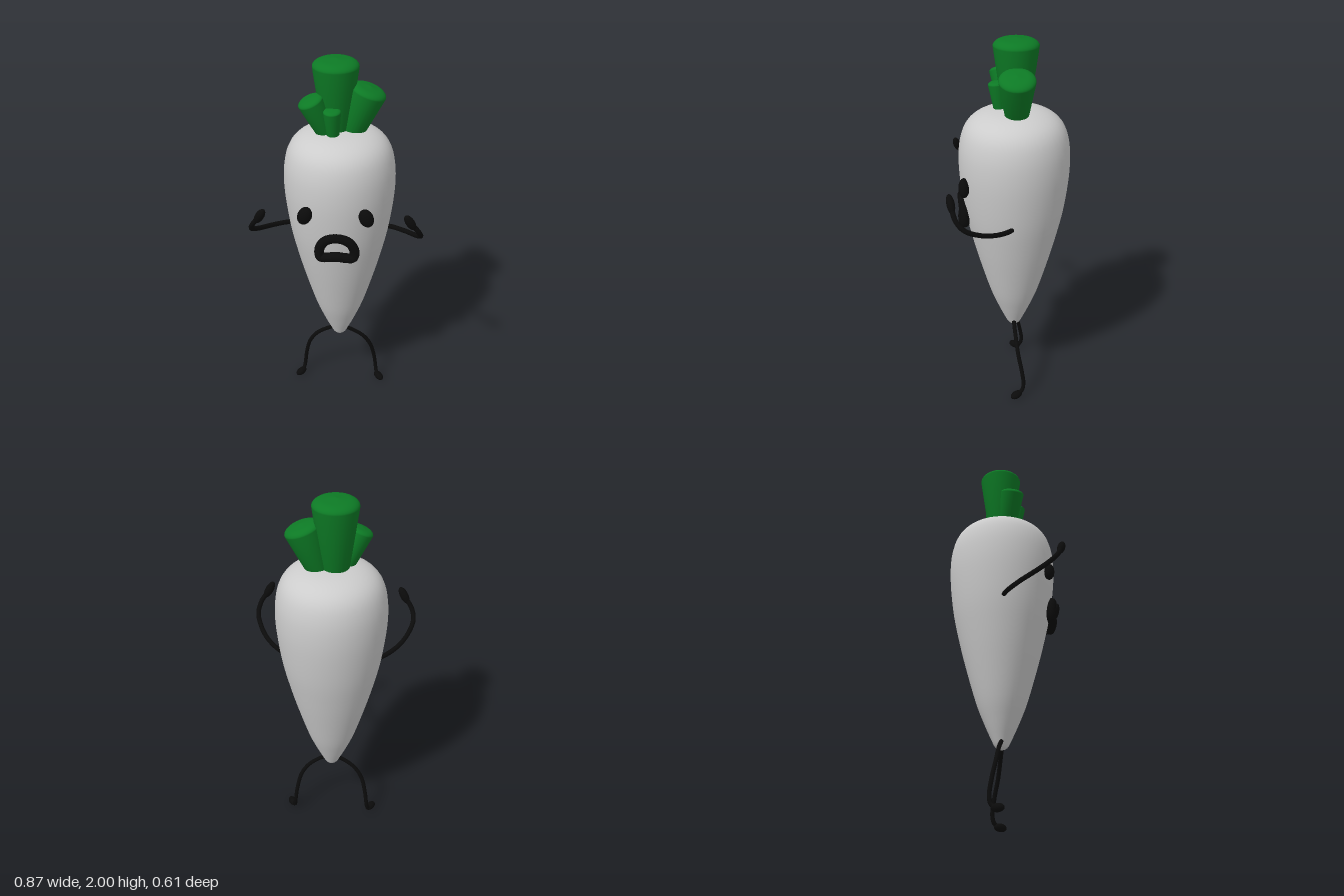
import * as THREE from 'three';

const mat = (name, color) => {
  const m = new THREE.MeshStandardMaterial({ color });
  m.name = name;
  return m;
};
const V = (p) => new THREE.Vector3(...p);
const UP = new THREE.Vector3(0, 1, 0);

export function createModel() {
  const group = new THREE.Group();
  const skin = mat('pale root', 0xcccccc);
  const green = mat('leaf green', 0x0d7a25);
  const black = mat('black', 0x0b0b0b);

  const add = (name, geometry, material, position = [0, 0, 0]) => {
    const mesh = new THREE.Mesh(geometry, material);
    mesh.name = name;
    mesh.position.set(...position);
    group.add(mesh);
    return mesh;
  };
  const tube = (name, points, radius, closed = false) =>
    add(name, new THREE.TubeGeometry(new THREE.CatmullRomCurve3(points.map(V), closed), 48, radius, 10, closed), black);
  // Ellipsoid whose long (y) axis points along dir
  const blob = (name, position, size, dir) => {
    const mesh = add(name, new THREE.SphereGeometry(1, 20, 14), black, position);
    mesh.scale.set(...size);
    mesh.quaternion.setFromUnitVectors(UP, V(dir).normalize());
  };

  // Root body: smooth lathe through a few radius/height stations
  const profile = new THREE.SplineCurve([
    [0, 0.36], [0.03, 0.372], [0.055, 0.42], [0.09, 0.5], [0.132, 0.61], [0.187, 0.8], [0.225, 0.95],
    [0.257, 1.1], [0.278, 1.26], [0.284, 1.38], [0.276, 1.48], [0.25, 1.56], [0.2, 1.612], [0.12, 1.642], [0, 1.652],
  ].map(([r, y]) => new THREE.Vector2(r, y))).getPoints(56);
  profile.forEach((p) => { p.x = Math.max(0, p.x); });
  profile[0].x = profile[profile.length - 1].x = 0;
  add('body', new THREE.LatheGeometry(profile, 40), skin, [0, 0, -0.025]);

  // Leaf stalks: flared, with rounded tops: base, tip, base radius, tip radius
  [
    ['tallLeaf', [-0.02, 1.58, -0.033], [-0.02, 2.0, -0.033], 0.06, 0.113],
    ['leftLeaf', [0.045, 1.58, -0.035], [0.147, 1.865, -0.035], 0.05, 0.09],
    ['rightLeaf', [-0.04, 1.58, 0.0], [-0.143, 1.825, 0.038], 0.04, 0.064],
    ['smallLeaf', [-0.025, 1.58, 0.04], [-0.03, 1.782, 0.064], 0.025, 0.043],
  ].forEach(([name, base, tip, r0, r1]) => {
    const axis = V(tip).sub(V(base));
    const h = axis.length();
    const pts = [new THREE.Vector2(0, 0), new THREE.Vector2(r0, 0)];
    const bevel = r1 * 0.36;
    for (let i = 0; i <= 8; i++) {
      const a = (i / 8) * Math.PI / 2;
      pts.push(new THREE.Vector2(r1 - bevel * 1.6 * (1 - Math.cos(a)), h - bevel * (1 - Math.sin(a) * 0.85)));
    }
    pts.push(new THREE.Vector2(0, h));
    const leaf = add(name, new THREE.LatheGeometry(pts, 28), green, base);
    leaf.quaternion.setFromUnitVectors(UP, axis.normalize());
  });

  // Mouth: closed tube bent around the body
  tube('mouth', [
    [0.005, 1.177], [-0.05, 1.157], [-0.08, 1.105], [-0.076, 1.058], [-0.04, 1.06], [0.005, 1.067],
    [0.05, 1.06], [0.09, 1.058], [0.094, 1.105], [0.062, 1.157],
  ].map(([x, y]) => [x, y, 0.246 - x * x * 1.5]), 0.025, true);

  // Mirrored eyes and limbs
  for (const [side, s] of [['left', 1], ['right', -1]]) {
    const flip = (pts) => pts.map(([x, y, z]) => [x * s, y, z]);
    blob(side + 'Eye', [0.151 * s, 1.29, 0.229], [0.036, 0.05, 0.028], [-0.35 * s, 0.93, 0]);
    tube(side + 'Arm', flip([
      [0.22, 1.1, -0.02], [0.27, 1.108, 0], [0.345, 1.128, 0.07], [0.395, 1.157, 0.15],
      [0.42, 1.198, 0.222], [0.408, 1.245, 0.262], [0.375, 1.295, 0.28],
    ]), 0.0125);
    blob(side + 'Hand', [0.364 * s, 1.31, 0.284], [0.022, 0.05, 0.02], [-0.48 * s, 0.85, 0.2]);
    tube(side + 'Leg', flip([
      [0.02, 0.4, -0.025], [0.06, 0.385, -0.026], [0.13, 0.335, -0.035], [0.175, 0.265, -0.046],
      [0.2, 0.165, -0.066], [0.211, 0.08, -0.076], [0.217, 0.04, -0.066], [0.228, 0.026, -0.045],
    ]), 0.011);
    blob(side + 'Foot', [0.234 * s, 0.023, -0.036], [0.022, 0.037, 0.021], [0.6 * s, -0.06, 0.8]);
  }
  return group;
}
